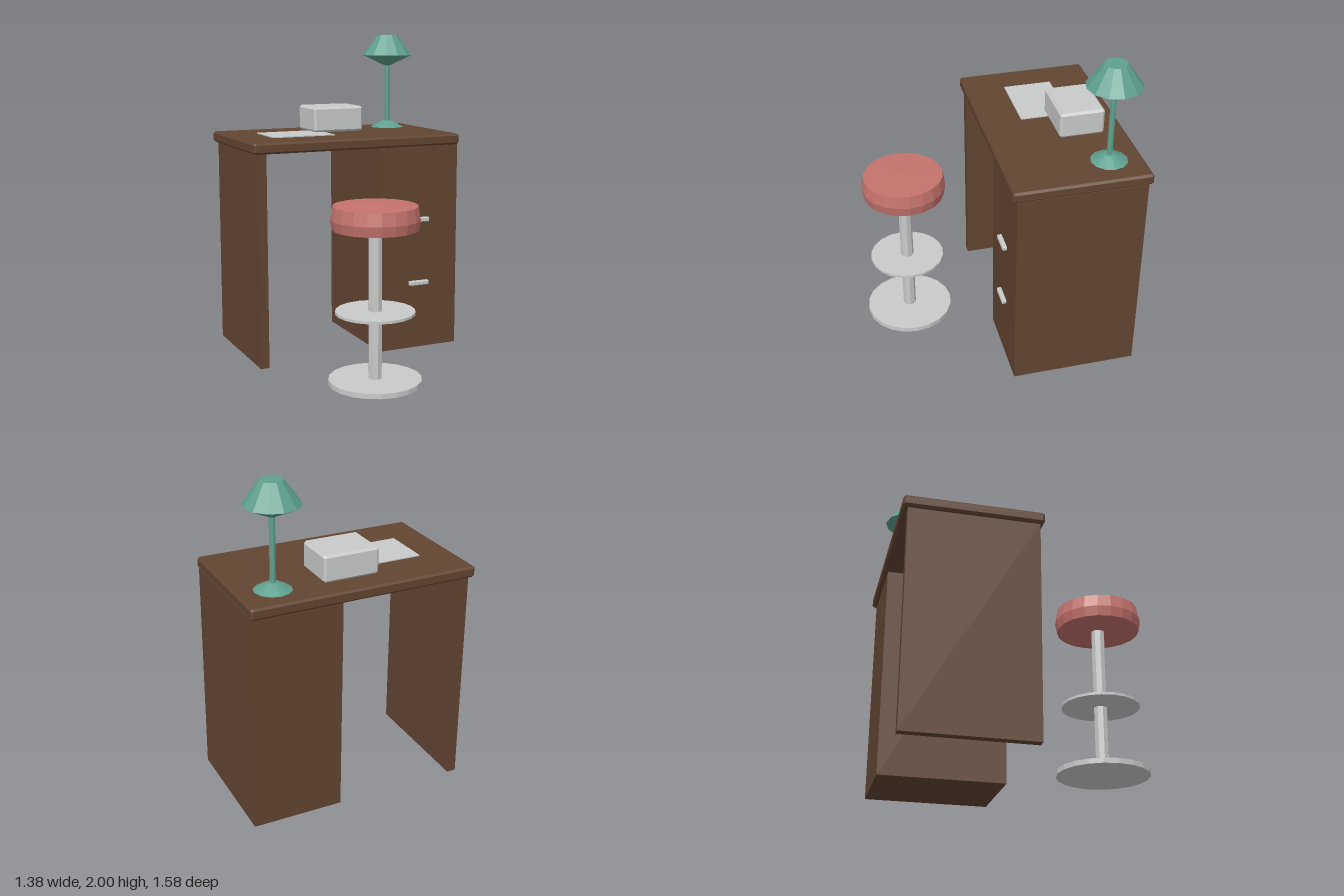
import * as THREE from 'three';
import { ConvexGeometry } from 'three/addons/geometries/ConvexGeometry.js';

const paint = (name, color) => {
  const m = new THREE.MeshStandardMaterial({ color });
  m.name = name;
  return m;
};

// Facet a geometry so every face is flat
function faceted(geometry) {
  const g = geometry.index ? geometry.toNonIndexed() : geometry;
  g.computeVertexNormals();
  return g;
}

// Box with chamfered edges: three inset points at each corner
function chamferBox(w, h, d, c) {
  const pts = [];
  for (const x of [-w / 2, w / 2])
    for (const y of [-h / 2, h / 2])
      for (const z of [-d / 2, d / 2]) {
        const ix = x - Math.sign(x) * c, iy = y - Math.sign(y) * c, iz = z - Math.sign(z) * c;
        pts.push(new THREE.Vector3(x, iy, iz), new THREE.Vector3(ix, y, iz), new THREE.Vector3(ix, iy, z));
      }
  return new ConvexGeometry(pts);
}

// Turned part from [radius, height] pairs, listed bottom to top
function turned(profile, sides) {
  return faceted(new THREE.LatheGeometry(profile.map(([r, y]) => new THREE.Vector2(r, y)), sides));
}

export function createModel() {
  const wood = paint('brown wood', 0x634532);
  const metal = paint('light grey', 0xc9cbca);
  const cushion = paint('dusty red', 0xc5736d);
  const enamel = paint('teal enamel', 0x5fa08f);

  const model = new THREE.Group();
  model.name = 'deskWithStool';

  const group = (name, x = 0, y = 0, z = 0) => {
    const g = new THREE.Group();
    g.name = name;
    g.position.set(x, y, z);
    model.add(g);
    return g;
  };
  const add = (parent, name, geometry, material) => {
    const mesh = new THREE.Mesh(geometry, material);
    mesh.name = name;
    parent.add(mesh);
    return mesh;
  };
  // Box given by its minimum and maximum on each axis
  const block = (parent, name, [x0, x1], [y0, y1], [z0, z1], material, chamfer = 0) => {
    const size = [x1 - x0, y1 - y0, z1 - z0];
    const g = chamfer ? chamferBox(...size, chamfer) : new THREE.BoxGeometry(...size);
    add(parent, name, g, material).position.set((x0 + x1) / 2, (y0 + y1) / 2, (z0 + z1) / 2);
  };

  // Desk
  const desk = group('desk');
  const depth = [-0.762, 0.008];
  block(desk, 'desktop', [-0.69, 0.69], [1.313, 1.38], [-0.79, 0.03], wood, 0.012);
  block(desk, 'drawerCabinet', [0.138, 0.687], [0, 1.315], depth, wood);
  block(desk, 'sidePanel', [-0.663, -0.608], [0, 1.315], depth, wood);
  for (const y of [0.43, 0.843])
    block(desk, 'drawerHandle', [0.343, 0.477], [y - 0.014, y + 0.014], [0.005, 0.035], metal, 0.004);

  // Things on the desk
  const items = group('deskItems');
  block(items, 'paperSheet', [-0.482, -0.07], [1.379, 1.386], [-0.52, -0.218], metal);
  block(items, 'storageBox', [-0.138, 0.203], [1.383, 1.545], [-0.656, -0.382], metal, 0.014);

  // Lamp
  const lamp = group('lamp', 0.48, 0, -0.59);
  add(lamp, 'lampBase', turned([[0, 1.379], [0.11, 1.381], [0.035, 1.422], [0, 1.427]], 12), enamel);
  add(lamp, 'lampStem', turned([[0.018, 1.4], [0.018, 1.82]], 8), enamel);
  add(lamp, 'lampShade', turned([[0, 1.795], [0.02, 1.797], [0.163, 1.865], [0.067, 2], [0, 2]], 12), enamel);

  // Bar stool
  const stool = group('stool', -0.138, 0, 0.515);
  add(stool, 'stoolBase', turned([[0, 0], [0.275, 0], [0.275, 0.03], [0, 0.03]], 20), metal);
  add(stool, 'stoolPost', turned([[0.041, 0.02], [0.041, 0.93]], 8), metal);
  add(stool, 'footDisc', turned([[0, 0.42], [0.234, 0.42], [0.234, 0.436], [0, 0.436]], 20), metal);
  add(stool, 'stoolSeat', turned(
    [[0, 0.915], [0.25, 0.915], [0.261, 0.975], [0.247, 1.052], [0, 1.064]], 20), cushion);

  return model;
}
